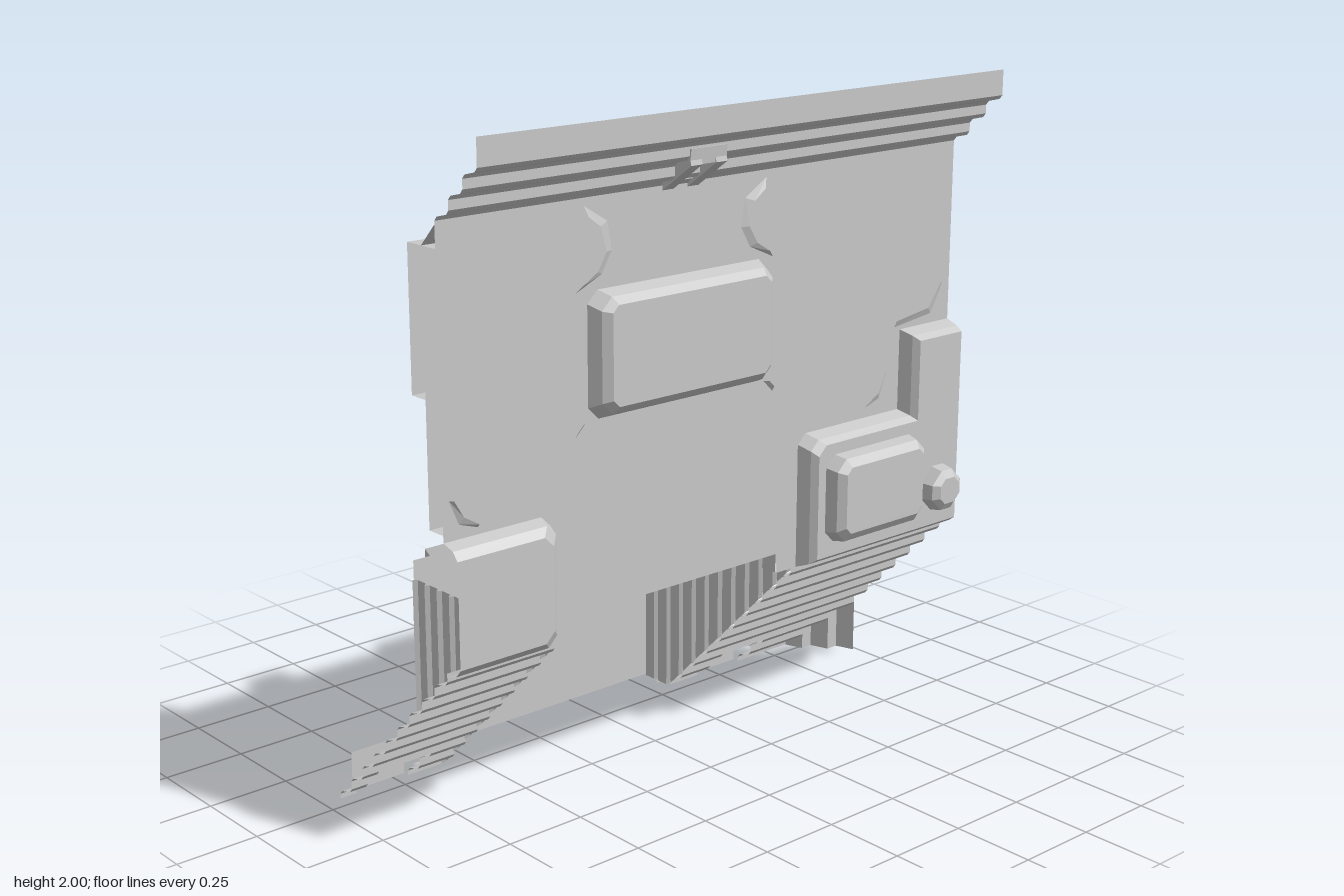
import * as THREE from 'three';

const concrete = new THREE.MeshStandardMaterial({ color: 0xc8c8c8, side: THREE.DoubleSide });
concrete.name = 'concrete';
const EDGE = 0.96;

export function createModel() {
  const model = new THREE.Group();
  const add = (geometry, name) => {
    const mesh = new THREE.Mesh(geometry, concrete);
    mesh.name = name;
    model.add(mesh);
    return mesh;
  };

  // Flat-shaded strip between two polylines of [x, y, z] points
  const strip = (a, b, name, closed = false) => {
    const v = [];
    const n = a.length;
    for (let i = 0; i < (closed ? n : n - 1); i++) {
      const j = (i + 1) % n;
      // the sheet stays open along its outer left and right borders
      if (closed && Math.abs(a[i][0]) >= EDGE && a[i][0] === a[j][0]) continue;
      v.push(...a[i], ...a[j], ...b[j], ...a[i], ...b[j], ...b[i]);
    }
    const g = new THREE.BufferGeometry();
    g.setAttribute('position', new THREE.Float32BufferAttribute(v, 3));
    g.computeVertexNormals();
    return add(g, name);
  };
  const toVec = (pts) => pts.map(([x, y]) => new THREE.Vector2(x, y));
  const atZ = (pts, z) => pts.map(([x, y]) => [x, y, z]);

  // Flat plate facing the front, with optional holes
  const plate = (pts, z, name, holes = []) => {
    const s = new THREE.Shape(toVec(pts));
    holes.forEach((h) => s.holes.push(new THREE.Path(toVec(h))));
    add(new THREE.ShapeGeometry(s), name).position.z = z;
  };
  // Rectangle with cut corners
  const cutRect = (x0, x1, y0, y1, c) => [
    [x0 + c, y0], [x1 - c, y0], [x1, y0 + c], [x1, y1 - c],
    [x1 - c, y1], [x0 + c, y1], [x0, y1 - c], [x0, y0 + c],
  ];
  // Bulging hollow panel: rings of [outline, z], closed by a cap
  const panel = (rings, name, holes) => {
    for (let i = 0; i + 1 < rings.length; i++)
      strip(atZ(...rings[i]), atZ(...rings[i + 1]), name + 'Bevel', true);
    const last = rings[rings.length - 1];
    plate(last[0], last[1], name, holes);
  };
  // Sheet of constant profile [y, z] running along x
  const run = (profile, x0, x1, name) =>
    strip(profile.map(([y, z]) => [x0, y, z]), profile.map(([y, z]) => [x1, y, z]), name);

  // Front wall with openings for the bulging panels
  const centreHole = cutRect(-0.475, 0.185, 1.165, 1.52, 0.035);
  const wall = [
    [-0.96, 0.93], [-0.64, 0.93], [-0.61, 0.9], [-0.61, 0.56], [-0.54, 0.56], [-0.54, 0.62],
    [0.24, 0.62], [0.24, 0.56], [0.32, 0.56], [0.32, 0.94], [0.35, 0.97], [0.745, 0.97],
    [0.745, 1.22], [0.96, 1.22], [0.96, 1.76], [-0.96, 1.76],
  ];
  plate(wall, 0.27, 'frontWall', [centreHole]);

  // Terraced back layers
  const midLayer = [
    [-0.6, 0.56], [-0.54, 0.56], [-0.54, 0.62], [0.24, 0.62], [0.24, 0.56], [0.3, 0.56],
    [0.3, 0.98], [0.71, 0.98], [0.71, 1.24], [0.96, 1.24], [0.96, 1.7],
    [0.06, 1.7], [0.06, 1.54], [0.18, 1.54], [0.18, 1.15], [-0.48, 1.15], [-0.48, 1.54],
    [-0.38, 1.54], [-0.38, 1.7], [-0.96, 1.7], [-0.96, 0.95], [-0.6, 0.95],
  ];
  const rearLayer = [
    [-0.55, 0.62], [0.24, 0.62], [0.24, 1.01], [0.66, 1.01], [0.66, 1.27], [0.96, 1.27],
    [0.96, 1.7], [0.22, 1.7], [0.22, 1.08], [-0.55, 1.08], [-0.55, 1.7], [-0.96, 1.7],
    [-0.96, 1.3], [-0.9, 1.3], [-0.9, 0.97], [-0.55, 0.97],
  ];
  panel([[midLayer, 0.265], [midLayer, 0.21]], 'midLayer');
  panel([[rearLayer, 0.21], [rearLayer, 0.15]], 'rearLayer');
  // Sloped joint between the wall head and the rear layers
  for (const [x0, x1] of [[-0.96, -0.38], [0.06, 0.96]])
    run([[1.76, 0.268], [1.7, 0.21]], x0, x1, 'headSlope');

  // Bulging panels
  panel([
    [centreHole, 0.27],
    [cutRect(-0.458, 0.168, 1.182, 1.505, 0.035), 0.31],
    [cutRect(-0.435, 0.145, 1.205, 1.485, 0.02), 0.33],
  ], 'centrePanel');

  const lPanel = (d) => [
    [0.32 + d, 0.56 + d], [0.96, 0.56 + d], [0.96, 1.22 - d], [0.745 + d, 1.22 - d],
    [0.745 + d, 0.97 - d], [0.35 + d, 0.97 - d], [0.32 + d, 0.94 - d],
  ];
  const boxBase = cutRect(0.38, 0.77, 0.635, 0.905, 0.035);
  const knobBase = cutRect(0.8, 0.94, 0.64, 0.78, 0.045);
  panel([[lPanel(0), 0.27], [lPanel(0.015), 0.31], [lPanel(0.03), 0.33]],
    'cornerPanel', [boxBase, knobBase]);
  panel([
    [boxBase, 0.33],
    [cutRect(0.388, 0.762, 0.643, 0.898, 0.035), 0.37],
    [cutRect(0.41, 0.74, 0.67, 0.875, 0.02), 0.39],
  ], 'boxPanel');
  panel([
    [knobBase, 0.33],
    [cutRect(0.807, 0.933, 0.647, 0.773, 0.04), 0.37],
    [cutRect(0.83, 0.91, 0.67, 0.75, 0.02), 0.385],
  ], 'knob');

  const sidePanel = (d) => [
    [-0.96, 0.56 + d], [-0.64 - d, 0.56 + d], [-0.61 - d, 0.59 + d],
    [-0.61 - d, 0.9 - d], [-0.64 - d, 0.93 - d], [-0.96, 0.93 - d],
  ];
  panel([[sidePanel(0), 0.27], [sidePanel(0.012), 0.31], [sidePanel(0.035), 0.33]], 'sidePanel');

  // Shallow ridges on the front wall
  const ridge = (low, high) => strip(atZ(low, 0.271), atZ(high, 0.28), 'ridge');
  for (const s of [-1, 1]) {
    const m = (pts) => pts.map(([x, y]) => [-0.155 + s * x, y]);
    ridge(m([[0.33, 1.75], [0.25, 1.7], [0.235, 1.62], [0.27, 1.56], [0.36, 1.52]]),
      m([[0.32, 1.72], [0.28, 1.69], [0.26, 1.62], [0.29, 1.57], [0.34, 1.54]]));
    ridge(m([[0.33, 1.16], [0.365, 1.125]]), m([[0.345, 1.16], [0.365, 1.14]]));
  }
  ridge([[0.6, 1.0], [0.66, 1.02], [0.69, 1.1]], [[0.6, 1.01], [0.65, 1.04], [0.68, 1.1]]);
  ridge([[0.72, 1.23], [0.88, 1.25], [0.93, 1.34]], [[0.72, 1.25], [0.86, 1.27], [0.91, 1.34]]);
  ridge([[-0.94, 1.04], [-0.91, 0.97], [-0.85, 0.95]], [[-0.93, 1.04], [-0.9, 0.99], [-0.85, 0.96]]);

  // Overhanging stepped cornice with bevelled step edges
  const cornice = [[2, 0.45]];
  for (const [y, z] of [[1.925, 0.45], [1.865, 0.39], [1.805, 0.33]])
    cornice.push([y, z], [y - 0.012, z - 0.01], [y - 0.022, z - 0.05], [y - 0.034, z - 0.06]);
  cornice.push([1.76, 0.27]);
  run(cornice, -0.96, 0.96, 'cornice');

  // Clip on the cornice: lintel and two legs, each a side profile run along x
  const clipPart = (pts, x0, x1, name) => {
    const g = new THREE.ExtrudeGeometry(new THREE.Shape(toVec(pts)), { depth: x1 - x0, bevelEnabled: false });
    g.rotateY(-Math.PI / 2);
    add(g, name).position.x = x1;
  };
  clipPart([[0.28, 1.77], [0.3, 1.785], [0.3, 1.84], [0.39, 1.84], [0.395, 1.885], [0.28, 1.885]],
    -0.22, -0.09, 'clipLintel');
  for (const x of [-0.22, -0.13])
    clipPart([[0.28, 1.76], [0.395, 1.84], [0.39, 1.86], [0.28, 1.86]], x, x + 0.04, 'clipLeg');

  // Receding lower steps
  const steps = (from, to) => {
    const p = [];
    for (let i = from; i <= to; i++) {
      const y = 0.57 - 0.06 * i, z = 0.27 - 0.06 * i;
      p.push([y, z], [Math.max(y - 0.025, 0.015), z]);
      if (i < to) p.push([y - 0.037, z - 0.01], [y - 0.048, z - 0.05]);
    }
    return p;
  };
  for (const [x0, x1] of [[-0.96, -0.6], [0.3, 0.96]]) run(steps(0, 7), x0, x1, 'lowerSteps');
  for (const [x0, x1] of [[-0.96, -0.905], [-0.725, -0.6], [0.3, 0.42], [0.6, 0.84]])
    run(steps(7, 9), x0, x1, 'bottomSteps');
  run([...steps(7, 8), [0.015, -0.21]], 0.84, 0.9, 'cornerStep');
  run([[0.125, -0.15], [0.015, -0.15]], 0.9, 0.96, 'cornerStep');
  for (const [x, y, z] of [[0.96, 0.2, -0.09], [0.9, 0.135, -0.15], [0.84, 0.075, -0.21]])
    strip([[x, y, z], [x - 0.02, y - 0.05, z - 0.06]],
      [[x, 0.015, z], [x - 0.02, 0.015, z - 0.06]], 'cornerReturn');

  // Upright plates behind the gaps in the bottom steps, and small feet
  for (const [x0, x1] of [[-0.905, -0.725], [0.42, 0.6]])
    run([[0.135, -0.29], [0.015, -0.29]], x0, x1, 'gapPlate');
  for (const [x0, x1] of [[-0.66, -0.6], [0.3, 0.36]])
    run([[0.02, -0.27], [0.01, -0.335], [0, -0.335]], x0, x1, 'foot');

  // Ribbed side walls of the recess
  for (const [x, s] of [[-0.605, 1], [0.305, -1]]) {
    const top = [], base = [];
    for (let i = 0; i < 11; i++) {
      for (const [dz, dx] of [[0, 0], [0.01, 0.012], [0.05, 0.012], [0.06, 0]]) {
        const z = 0.27 - 0.06 * i - dz;
        top.push([x + s * dx, 0.56, z]);
        base.push([x + s * dx, Math.max(0.015, Math.min(0.56, z + 0.285)), z]);
      }
    }
    strip(top, base, 'ribbedWall');
  }

  // Back of the recess: inner face and a shallow pan standing out behind it
  plate([[-0.6, 0.015], [0.3, 0.015], [0.3, 0.56], [-0.6, 0.56]], -0.388, 'recessFace');
  const pan = [[-0.6, -0.39], [-0.54, -0.39], [-0.515, -0.45], [0.215, -0.45], [0.24, -0.39], [0.3, -0.39]];
  strip(pan.map(([x, z]) => [x, 0.62, z]), pan.map(([x, z]) => [x, 0.015, z]), 'recessPan');

  return model;
}
